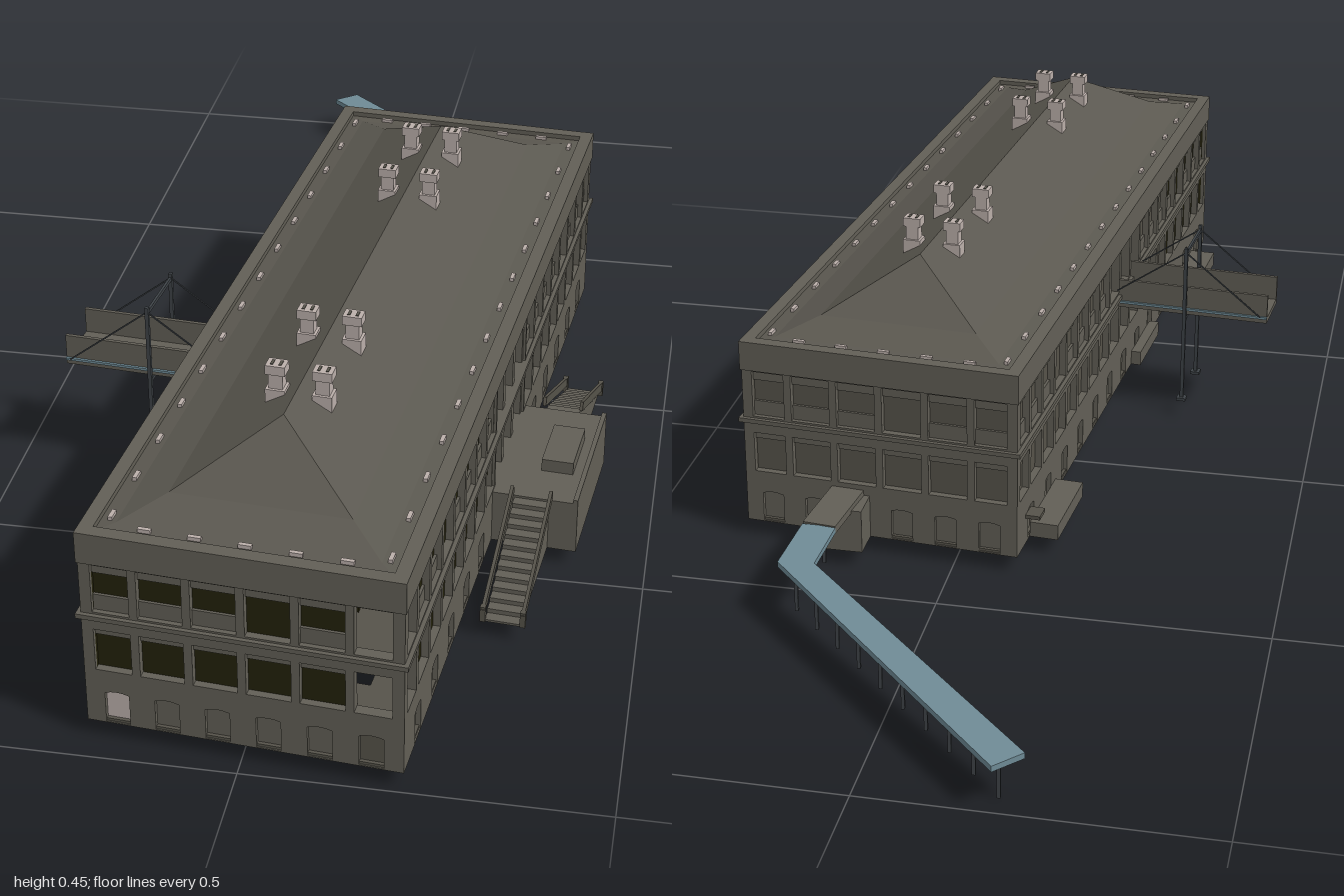
import * as THREE from 'three';

const mat = (name, color, side = THREE.FrontSide) => {
  const m = new THREE.MeshStandardMaterial({ color, side });
  m.name = name;
  return m;
};

export function createModel() {
  const wall = mat('wall stone', 0x625f56);
  const infill = mat('infill panel', 0x56534a);
  const roofMat = mat('roof', 0x5b5850, THREE.DoubleSide);
  const glass = mat('olive glass', 0x23210b);
  const pale = mat('pale plaster', 0xbcb0ab);
  const blue = mat('blue deck', 0x6f8b96);
  const steel = mat('dark steel', 0x3e4347);

  const root = new THREE.Group();
  const hall = new THREE.Group();
  hall.name = 'building';
  hall.position.set(0.061, 0, 0.304);
  hall.rotation.y = -0.0857;
  root.add(hall);
  const HW = 0.219, HL = 0.671, BASE = 0.025, T = 0.016;

  const add = (parent, name, geo, m) => {
    const mesh = new THREE.Mesh(geo, m);
    mesh.name = name;
    parent.add(mesh);
    return mesh;
  };
  // box from min and max corners
  const box = (p, name, m, x0, x1, y0, y1, z0, z1) => {
    const b = add(p, name, new THREE.BoxGeometry(x1 - x0, y1 - y0, z1 - z0), m);
    b.position.set((x0 + x1) / 2, (y0 + y1) / 2, (z0 + z1) / 2);
  };
  // bar running from a to b
  const bar = (p, name, m, a, b, w, h) => {
    const A = new THREE.Vector3(...a), B = new THREE.Vector3(...b);
    const mesh = new THREE.Mesh(new THREE.BoxGeometry(w, h, A.distanceTo(B)), m);
    mesh.name = name;
    mesh.position.copy(A).add(B).multiplyScalar(0.5);
    mesh.lookAt(B);
    p.add(mesh);
  };
  const rect = (C, x0, x1, y0, y1) =>
    new C([[x0, y0], [x1, y0], [x1, y1], [x0, y1]].map(q => new THREE.Vector2(...q)));
  const arch = (x, w, y0, y1) => {
    const h = new THREE.Path();
    h.moveTo(x - w, y0);
    h.lineTo(x + w, y0);
    h.lineTo(x + w, y1 - 0.003);
    h.quadraticCurveTo(x, y1 + 0.003, x - w, y1 - 0.003);
    h.closePath();
    return h;
  };

  // One facade: pierced wall, recessed infill and glazing
  function facade(name, len, bays, doors, isOpen, isOlive, gap = () => false) {
    const g = new THREE.Group();
    g.name = name;
    hall.add(g);
    const front = name === 'frontFacade';
    const extrude = (n, shape) => {
      const w = add(g, n, new THREE.ExtrudeGeometry(shape, { depth: T, bevelEnabled: false, curveSegments: 4 }), wall);
      w.position.z = -T;
    };
    // basement with arched blind doors
    const low = rect(THREE.Shape, -len / 2, len / 2, BASE, 0.11);
    for (let i = 0; i < doors; i++) {
      const x = ((i + 0.5) / doors - 0.5) * len * 0.96;
      low.holes.push(arch(x, 0.017, BASE + 0.002, 0.078));
      const m = front && i === 0 ? pale : front && i === doors - 1 ? infill : wall;
      box(g, 'basementDoor', m, x - 0.018, x + 0.018, BASE, 0.08, -T, -0.007);
    }
    extrude('basementWall', low);
    // two upper storeys split into bays
    const step = len / bays, half = step * 0.42;
    for (let i = 0; i < bays; i++) {
      const x = (i + 0.5) * step - len / 2;
      if (gap(i)) continue;
      const s = rect(THREE.Shape, x - step / 2, x + step / 2, 0.11, 0.285);
      s.holes.push(rect(THREE.Path, x - half, x + half, 0.112, 0.178));
      s.holes.push(rect(THREE.Path, x - half, x + half, 0.206, 0.281));
      extrude('upperBay', s);
      if (isOpen(i)) continue;
      const pane = isOlive(i) ? glass : infill;
      box(g, 'lowerWindow', pane, x - half, x + half, 0.112, 0.168, -T, -0.011);
      box(g, 'lowerLintel', wall, x - half, x + half, 0.166, 0.178, -T, -0.007);
      box(g, 'upperWindow', pane, x - half, x + half, 0.206, 0.268, -T, -0.011);
      box(g, 'upperLintel', wall, x - half, x + half, 0.265, 0.281, -T, -0.007);
      if (i % 6 !== 3) box(g, 'upperSill', wall, x - half, x + half, 0.206, 0.23, -T, -0.007);
    }
    return g;
  }
  const no = () => false;
  const mid = i => i >= 8 && i <= 10;
  facade('frontFacade', 2 * HW, 6, 6, i => i === 5, () => true).position.z = HL;
  const back = facade('backFacade', 2 * HW, 6, 6, no, no);
  back.position.z = -HL;
  back.rotation.y = Math.PI;
  const leftWing = facade('leftFacade', 2 * HL, 19, 13, i => i === 0, i => i < 8, mid);
  leftWing.position.x = HW;
  leftWing.rotation.y = Math.PI / 2;
  const rightWing = facade('rightFacade', 2 * HL, 19, 13, mid, i => i > 13);
  rightWing.position.x = -HW;
  rightWing.rotation.y = -Math.PI / 2;

  // Horizontal ring made from nested rectangles
  function ring(name, m, hw, hl, thick, y0, y1) {
    const s = rect(THREE.Shape, -hw, hw, -hl, hl);
    s.holes.push(rect(THREE.Path, -hw + thick, hw - thick, -hl + thick, hl - thick));
    const r = add(hall, name, new THREE.ExtrudeGeometry(s, { depth: y1 - y0, bevelEnabled: false }), m);
    r.rotation.x = -Math.PI / 2;
    r.position.y = y0;
  }
  ring('floorLedge', wall, HW + 0.006, HL + 0.006, 0.02, 0.196, 0.203);
  ring('roofFascia', wall, HW + 0.002, HL + 0.002, 0.02, 0.283, 0.33);
  ring('foundationRing', infill, HW - 0.002, HL - 0.002, 0.05, BASE, BASE + 0.006);
  const W = HW - T, L = HL - T;
  ring('firstFloorEdge', infill, W, L, 0.045, 0.105, 0.111);
  box(hall, 'foundationSlab', infill, -W, W, BASE, BASE + 0.006, -0.2, 0.24);
  box(hall, 'firstFloor', infill, -W, W, 0.105, 0.111, -0.2, 0.24);
  box(hall, 'secondFloor', infill, -W, W, 0.18, 0.2, -L, L);
  box(hall, 'ceiling', infill, -W, W, 0.282, 0.288, -L, L);
  // Inner partitions
  for (const z of [-0.45, -0.116, 0.11]) box(hall, 'partition', wall, -W, W, 0.11, 0.283, z, z + 0.006);
  box(hall, 'glazedPartition', glass, -W, W - 0.07, 0.11, 0.283, 0.57, 0.576);
  box(hall, 'entrancePanel', pale, -W, -0.1, 0.203, 0.28, 0.104, 0.11);
  for (const z of [-0.32, 0.4]) box(hall, 'innerPier', pale, -0.04, 0.03, 0.12, 0.18, z, z + 0.04);

  // Portico columns
  const pz = 3 * HL / 19;
  for (let i = 0; i < 4; i++) {
    const z = -pz + (i * 2 * pz) / 3;
    box(hall, 'porticoColumn', wall, HW - 0.02, HW - 0.004, 0.11, 0.285, z - 0.008, z + 0.008);
  }
  box(hall, 'porticoHead', pale, HW - 0.09, HW - 0.084, 0.262, 0.283, -pz, pz);

  // Hipped roof with a shallow kick at the eaves
  const tiers = [[0.202, 0.654, 0.322], [0.178, 0.63, 0.325], [0.125, 0.572, 0.343], [0, 0.46, 0.415]];
  const corner = ([w, l, y], k) => [[-w, y, l], [w, y, l], [w, y, -l], [-w, y, -l]][k % 4];
  const pts = [];
  for (let t = 0; t < 3; t++) for (let k = 0; k < 4; k++) {
    const a = corner(tiers[t], k), b = corner(tiers[t], k + 1);
    const c = corner(tiers[t + 1], k + 1), d = corner(tiers[t + 1], k);
    pts.push(...a, ...b, ...c);
    if (t < 2 || k % 2) pts.push(...a, ...c, ...d);
  }
  const rg = new THREE.BufferGeometry();
  rg.setAttribute('position', new THREE.Float32BufferAttribute(pts, 3));
  rg.computeVertexNormals();
  add(hall, 'hippedRoof', rg, roofMat);

  // Chimneys in pairs, with small dark flue openings
  for (const z of [-0.385, -0.23, 0.23, 0.385]) for (const x of [-0.031, 0.035]) {
    box(hall, 'chimneyShaft', pale, x - 0.01, x + 0.01, 0.387, 0.44, z - 0.009, z + 0.009);
    box(hall, 'chimneyBase', pale, x - 0.014, x + 0.014, 0.385, 0.41, z - 0.013, z + 0.013);
    box(hall, 'chimneyCap', pale, x - 0.014, x + 0.014, 0.432, 0.446, z - 0.011, z + 0.011);
    for (const s of [-1, 1])
      box(hall, 'chimneyFlue', infill, x + s * 0.006 - 0.002, x + s * 0.006 + 0.002, 0.435, 0.447, z - 0.006, z + 0.006);
  }
  // Small vents along the gutter
  for (const s of [-1, 1]) {
    for (let i = 0; i < 14; i++) {
      const z = (i - 6.5) * 0.095;
      box(hall, 'gutterVent', pale, s * 0.188 - 0.003, s * 0.188 + 0.003, 0.322, 0.329, z - 0.009, z + 0.009);
    }
    for (let i = -2; i <= 2; i++)
      box(hall, 'gutterVent', pale, i * 0.068 - 0.009, i * 0.068 + 0.009, 0.322, 0.329, s * 0.64 - 0.003, s * 0.64 + 0.003);
  }

  // Entrance terrace with a flight of steps on both sides
  box(hall, 'terrace', wall, HW, 0.347, BASE, 0.11, -0.125, 0.125);
  box(hall, 'terraceRail', wall, 0.34, 0.347, 0.11, 0.116, -0.125, 0.125);
  box(hall, 'terraceBlock', wall, 0.278, 0.326, 0.11, 0.13, -0.05, 0.05);
  for (const s of [-1, 1]) {
    const n = 12, d = 0.2 / n;
    for (let i = 0; i < n; i++) {
      const a = s * (0.125 + i * d), b = s * (0.125 + (i + 1) * d);
      box(hall, 'stairStep', wall, 0.252, 0.304, BASE, 0.11 - (i + 0.5) * 0.085 / n, Math.min(a, b), Math.max(a, b));
    }
    for (const x of [0.249, 0.307]) {
      bar(hall, 'stairRail', infill, [x, 0.122, s * 0.125], [x, 0.04, s * 0.325], 0.005, 0.014);
      box(hall, 'stairPost', infill, x - 0.004, x + 0.004, BASE, 0.05, s * 0.323 - 0.004, s * 0.323 + 0.004);
    }
  }

  // Low side landings
  for (const z of [-0.526, 0.482]) {
    box(hall, 'sideLanding', wall, -0.264, -HW, BASE, 0.05, z - 0.075, z + 0.075);
    box(hall, 'landingCanopy', infill, -0.242, -HW, 0.069, 0.075, z - 0.1, z - 0.07);
  }
  box(hall, 'sideLedge', wall, -0.236, -HW, BASE, 0.05, 0.06, 0.2);

  // Cable-stayed entrance bridge
  const X0 = -0.477, MX = -0.337;
  box(hall, 'bridgeFloor', wall, X0, -HW + 0.01, 0.181, 0.19, -0.045, 0.045);
  for (const s of [-1, 1]) {
    const z = s * 0.043, c = s * 0.056;
    box(hall, 'bridgeSide', wall, X0, -HW, 0.181, 0.231, z - 0.003, z + 0.003);
    box(hall, 'bridgeStripe', blue, X0, -HW, 0.189, 0.193, s * 0.048 - 0.002, s * 0.048 + 0.002);
    box(hall, 'mast', steel, MX - 0.003, MX + 0.003, BASE, 0.306, c - 0.003, c + 0.003);
    box(hall, 'mastFoot', steel, MX - 0.008, MX + 0.008, BASE, 0.03, c - 0.008, c + 0.008);
    bar(hall, 'outerCable', steel, [MX, 0.298, c], [X0 + 0.01, 0.195, c], 0.002, 0.002);
    bar(hall, 'innerCable', steel, [MX, 0.298, c], [-HW, 0.215, c], 0.002, 0.002);
  }
  for (const y of [0.176, 0.297]) box(hall, 'mastBeam', steel, MX - 0.002, MX + 0.002, y - 0.003, y + 0.003, -0.056, 0.056);

  // Raised walkway behind the building, mitred at the bend
  const P = [[0.17, 0.098, -0.36], [0.184, 0.095, -0.475], [0.19, 0.088, -0.587], [-0.206, 0.066, -0.979]];
  const walk = new THREE.Group();
  walk.name = 'walkway';
  root.add(walk);
  bar(walk, 'walkwayLanding', wall, P[0], P[1], 0.052, 0.012);
  const deck = new THREE.Shape([[0.158, -0.475], [0.21, -0.475], [0.217, -0.583], [-0.188, -0.997], [-0.225, -0.961],
    [0.163, -0.577]].map(([x, z]) => new THREE.Vector2(x, -z)));
  const dg = new THREE.ExtrudeGeometry(deck, { depth: 0.009, bevelEnabled: false }).rotateX(-Math.PI / 2);
  const dp = dg.attributes.position;
  // slope the deck gently down towards its far end
  for (let i = 0; i < dp.count; i++) dp.setY(i, dp.getY(i) + 0.09 + (dp.getZ(i) + 0.475) * 0.057);
  dg.computeVertexNormals();
  add(walk, 'walkwayDeck', dg, blue);
  box(walk, 'walkwayBlock', wall, 0.135, 0.2, BASE, 0.095, -0.415, -0.36);
  for (let i = 0; i < 10; i++) {
    const t = i / 9.4 + 0.005, q = P[2].map((v, k) => v + (P[3][k] - v) * t);
    box(walk, 'walkwayPost', steel, q[0] - 0.0025, q[0] + 0.0025, 0.018 * (1 - i / 9), q[1], q[2] - 0.0025, q[2] + 0.0025);
  }
  for (const z of [-0.45, -0.52]) box(walk, 'walkwayPost', steel, 0.182, 0.187, 0.022, 0.09, z - 0.0025, z + 0.0025);
  return root;
}
